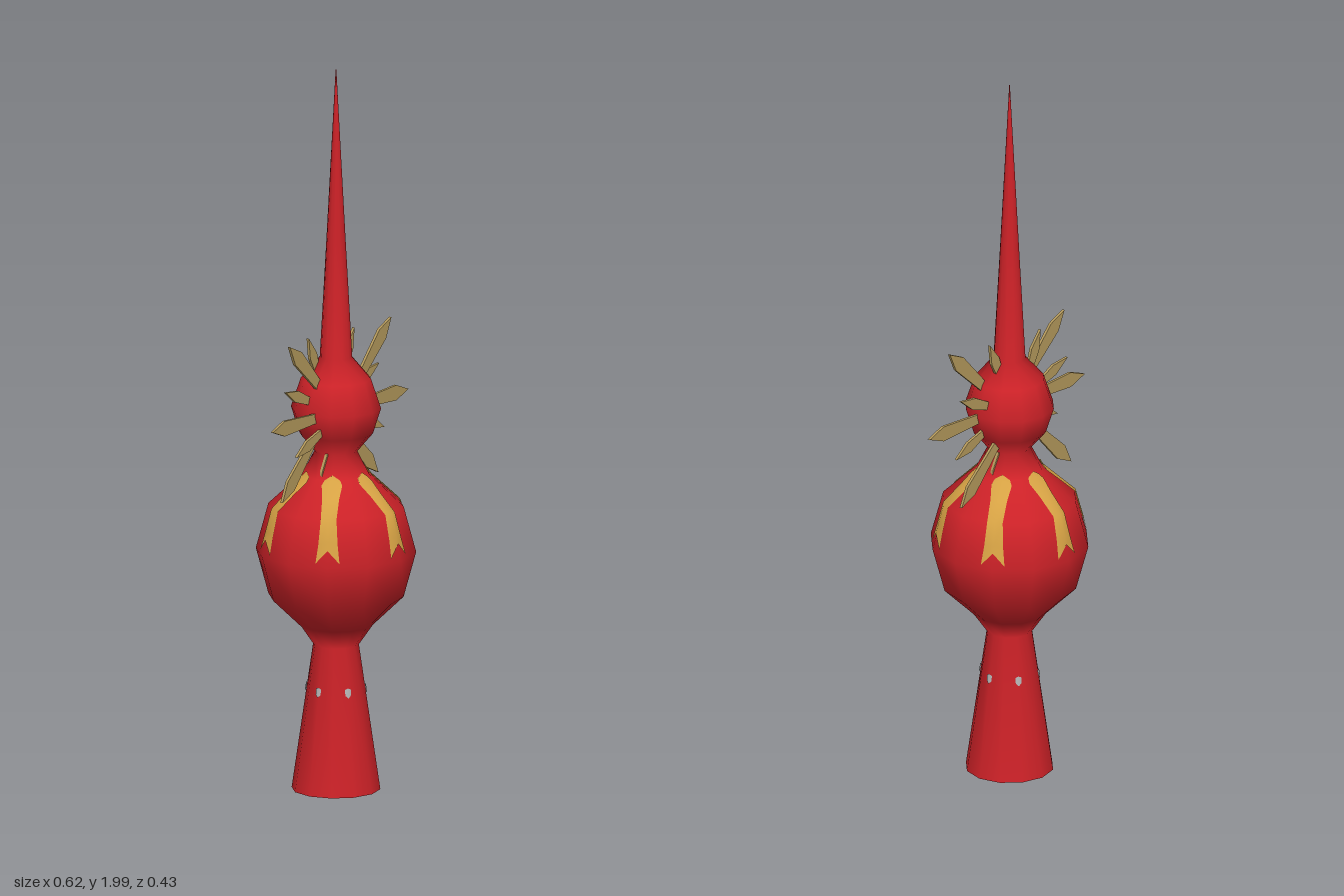
import * as THREE from 'three';

const red = new THREE.MeshStandardMaterial({ color: 0xcf2228, side: THREE.DoubleSide });
red.name = 'glassRed';
const gold = new THREE.MeshStandardMaterial({ color: 0xd6a244, side: THREE.DoubleSide });
gold.name = 'paintGold';
const brass = new THREE.MeshStandardMaterial({ color: 0xb59a5c });
brass.name = 'rayBrass';
const silver = new THREE.MeshStandardMaterial({ color: 0xb4b4b4, side: THREE.DoubleSide });
silver.name = 'speckSilver';

// Turned outline as [radius, height]
const PROFILE = [
  [0.12, 0], [0.062, 0.4], [0.1, 0.455], [0.183, 0.535], [0.217, 0.66], [0.183, 0.785],
  [0.09, 0.872], [0.058, 0.935], [0.1, 0.985], [0.122, 1.055], [0.095, 1.135],
  [0.044, 1.195], [0.026, 1.52], [0.001, 1.99],
];
const SIDES = 12;

// Point on the twelve-sided body at a height and angle, lifted slightly outwards
function onBody(y, angle, lift = 0.003) {
  let i = 0;
  while (i < PROFILE.length - 2 && PROFILE[i + 1][1] < y) i++;
  const [r0, y0] = PROFILE[i], [r1, y1] = PROFILE[i + 1];
  const step = 2 * Math.PI / SIDES;
  const local = ((angle % step) + step) % step - step / 2;
  const flat = Math.cos(step / 2) / Math.cos(local);
  const r = (r0 + (r1 - r0) * (y - y0) / (y1 - y0)) * flat + lift;
  return [r * Math.sin(angle), y + lift * 0.5, r * Math.cos(angle)];
}

// Painted patch: rows of [height at edge, height at middle, half width]
function patch(rows, angle) {
  const pos = [], index = [];
  rows.forEach(([yEdge, yMid, w], j) => {
    for (const s of [-1, 0, 1]) {
      const y = s ? yEdge : yMid;
      const [x, , z] = onBody(y, 0);
      pos.push(...onBody(y, angle + s * Math.atan2(w, Math.hypot(x, z))));
    }
    if (j === 0) return;
    for (let k = 0; k < 2; k++) {
      const a = (j - 1) * 3 + k, b = a + 1, c = a + 3, d = a + 4;
      index.push(a, b, d, a, d, c);
    }
  });
  const g = new THREE.BufferGeometry();
  g.setAttribute('position', new THREE.Float32BufferAttribute(pos, 3));
  g.setIndex(index);
  g.computeVertexNormals();
  return g;
}

// Flat pointed ray along +x
function rayGeometry(start, end, halfWidth) {
  const shoulder = end - 0.055;
  const s = new THREE.Shape();
  s.moveTo(start, -halfWidth * 0.6);
  s.lineTo(shoulder, -halfWidth);
  s.lineTo(end, 0);
  s.lineTo(shoulder, halfWidth);
  s.lineTo(start, halfWidth * 0.6);
  s.closePath();
  const g = new THREE.ExtrudeGeometry(s, { depth: 0.008, bevelEnabled: false });
  return g.translate(0, 0, -0.004);
}

export function createModel() {
  const model = new THREE.Group();
  model.name = 'treeTopper';

  // Hollow body with socket, two bulbs and spire
  const body = new THREE.Mesh(
    new THREE.LatheGeometry(PROFILE.map(([r, y]) => new THREE.Vector2(r, y)), SIDES), red);
  body.name = 'body';
  model.add(body);

  // Six forked gold stripes and six small specks on the socket
  const stripeRows = [
    [0.67, 0.705, 0.034], [0.72, 0.725, 0.027], [0.785, 0.785, 0.022],
    [0.83, 0.83, 0.024], [0.86, 0.872, 0.03], [0.872, 0.885, 0.022],
  ];
  const speckRows = [[0.272, 0.265, 0.008], [0.288, 0.292, 0.009]];
  for (let i = 0; i < 6; i++) {
    const angle = i * Math.PI / 3;
    const stripe = new THREE.Mesh(patch(stripeRows, angle), gold);
    stripe.name = 'stripe';
    const speck = new THREE.Mesh(patch(speckRows, angle + Math.PI / 6), silver);
    speck.name = 'socketSpeck';
    model.add(stripe, speck);
  }

  // Sixteen rays, alternately long and short, each at its own depth
  const burst = new THREE.Group();
  burst.name = 'rayBurst';
  burst.position.y = 1.047;
  const depths = [
    0.012, -0.014, 0.021, -0.006, 0, -0.03, 0.003, -0.015,
    0.012, 0.021, -0.022, 0.01, 0, -0.01, -0.022, 0.003,
  ];
  const longRay = rayGeometry(0.1, 0.308, 0.021);
  const shortRay = rayGeometry(0.1, 0.228, 0.016);
  depths.forEach((z, i) => {
    const ray = new THREE.Mesh(i % 2 ? shortRay : longRay, brass);
    ray.name = i % 2 ? 'shortRay' : 'longRay';
    ray.rotation.z = i * Math.PI / 8;
    ray.position.z = z;
    burst.add(ray);
  });
  model.add(burst);

  return model;
}
